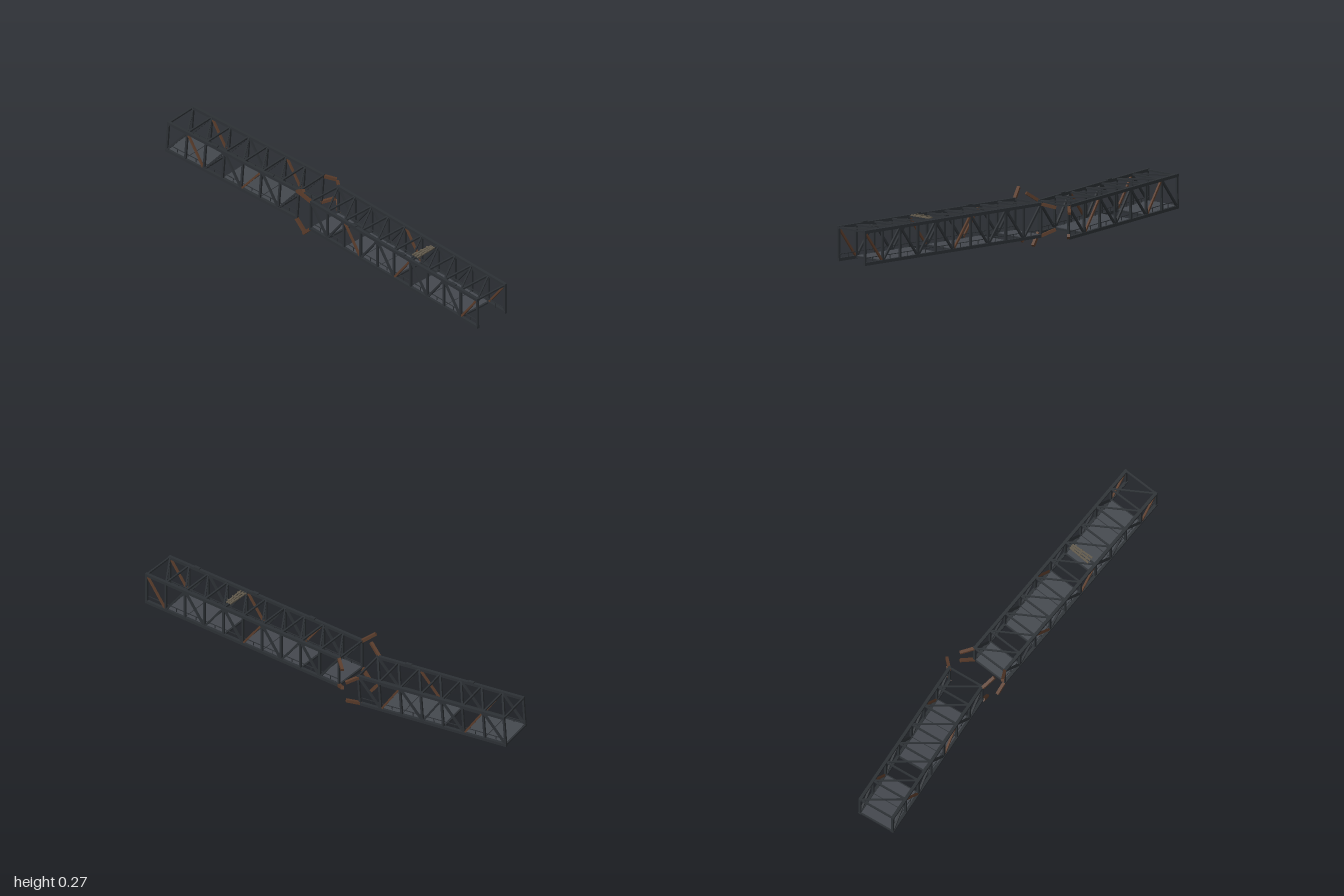
import * as THREE from 'three';

const mat = (name, color) => {
  const m = new THREE.MeshStandardMaterial({ color });
  m.name = name;
  return m;
};

export function createModel() {
  const steel = mat('dark steel', 0x2c3034);
  const plate = mat('deck plate', 0x44484e);
  const rust = mat('rusted steel', 0x5a3c2b);
  const wood = mat('weathered debris', 0x625a4c);
  const BAY = 0.1086, W = 0.086, H = 0.146;
  const V = (x, y, z) => new THREE.Vector3(x, y, z);

  // Square bar between two points
  function bar(parent, name, a, b, size, material) {
    const mesh = new THREE.Mesh(new THREE.BoxGeometry(size, size, a.distanceTo(b)), material);
    mesh.position.copy(a).add(b).multiplyScalar(0.5);
    const m = new THREE.Matrix4();
    const up = Math.abs(b.y - a.y) > 0.95 * a.distanceTo(b) ? V(0, 0, 1) : V(0, 1, 0);
    m.lookAt(b, a, up);
    mesh.quaternion.setFromRotationMatrix(m);
    mesh.name = name;
    parent.add(mesh);
  }
  function box(parent, name, size, pos, material, yaw = 0) {
    const mesh = new THREE.Mesh(new THREE.BoxGeometry(...size), material);
    mesh.position.set(...pos);
    mesh.rotation.y = yaw;
    mesh.name = name;
    parent.add(mesh);
  }

  // Box truss running from the local origin towards -z
  function truss(name, bays, decks, rusted, openFront) {
    const g = new THREE.Group();
    g.name = name;
    const L = bays * BAY;
    for (const s of [-1, 1]) {
      const x = s * W;
      for (const y of [0, H]) bar(g, 'chord', V(x, y, 0.005), V(x, y, -L - 0.005), 0.014, steel);
      bar(g, 'kickRail', V(x - s * 0.008, 0.025, 0), V(x - s * 0.008, 0.025, -L), 0.003, steel);
      for (let k = 0; k <= bays; k++) {
        const z = -k * BAY;
        bar(g, 'post', V(x, 0, z), V(x, H, z), 0.01, steel);
        if (k === bays) continue;
        const down = k % 2 === 0;
        bar(g, 'sideBrace', V(x, down ? H : 0, z), V(x, down ? 0 : H, z - BAY), 0.009,
          rusted.includes(s * (k + 1)) ? rust : steel);
        bar(g, 'railStub', V(x - s * 0.008, 0, z - BAY / 2), V(x - s * 0.008, 0.025, z - BAY / 2), 0.003, steel);
      }
    }
    for (let k = 0; k <= bays; k++) {
      const z = -k * BAY;
      bar(g, 'topStrut', V(-W, H, z), V(W, H, z), 0.008, steel);
      if (k > 0 || !openFront) bar(g, 'floorBeam', V(-W, 0, z), V(W, 0, z), 0.008, steel);
      if (k < bays) bar(g, 'topBrace', V(-W, H, z), V(W, H, z - BAY), 0.007, steel);
    }
    for (const k of decks)
      box(g, 'deckPanel', [2 * W - 0.008, 0.006, BAY - 0.004], [0, 0.004, -(k + 0.5) * BAY], plate);
    return g;
  }

  const model = new THREE.Group();
  model.name = 'brokenTrussBridge';

  const front = truss('frontSpan', 10, [1, 2, 3, 5, 6, 7, 9], [1, 6, -1, -5, -8], true);
  front.position.set(-0.007, 0.081, 0.995);
  model.add(front);

  const rear = truss('rearSpan', 7, [1, 2, 3, 5, 6], [6, -3, -6, 2], true);
  rear.rotation.set(0.054, 0.118, -0.03, 'YXZ');
  rear.position.set(0.0235, 0.061, -0.224);
  model.add(rear);

  // Bent, rusted chord ends on both sides of the break
  const stubs = [
    [[-0.093, 0.227, -0.09], [-0.124, 0.272, -0.145]],
    [[0.079, 0.227, -0.09], [0.122, 0.209, -0.143]],
    [[-0.093, 0.081, -0.09], [-0.091, 0.03, -0.14]],
    [[0.079, 0.081, -0.09], [0.121, 0.11, -0.143]],
    [[-0.062, 0.209, -0.212], [-0.081, 0.25, -0.15]],
    [[0.109, 0.204, -0.235], [0.16, 0.18, -0.19]],
    [[-0.066, 0.064, -0.212], [-0.057, 0.009, -0.17]],
    [[0.107, 0.059, -0.235], [0.155, 0.081, -0.19]],
  ];
  for (const [a, b] of stubs) bar(model, 'bentChordEnd', V(...a), V(...b), 0.014, rust);

  // Loose debris resting on the top bracing
  for (let i = 0; i < 3; i++) {
    box(model, 'debrisPlank', [0.11, 0.005, 0.008], [-0.01, 0.236, 0.547 + i * 0.012], wood, (i - 1) * 0.05);
    box(model, 'debrisSlat', [0.006, 0.004, 0.035], [-0.045 + i * 0.035, 0.241, 0.559], wood, 0.3);
  }

  // Splice plates on the top chords
  for (const z of [0.84, 0.51, 0.19]) box(model, 'splicePlate', [0.014, 0.005, 0.03], [-0.093, 0.236, z], steel);
  for (const k of [1.5, 4.5]) box(rear, 'splicePlate', [0.014, 0.005, 0.03], [-W, H + 0.009, -k * BAY], steel);

  return model;
}
